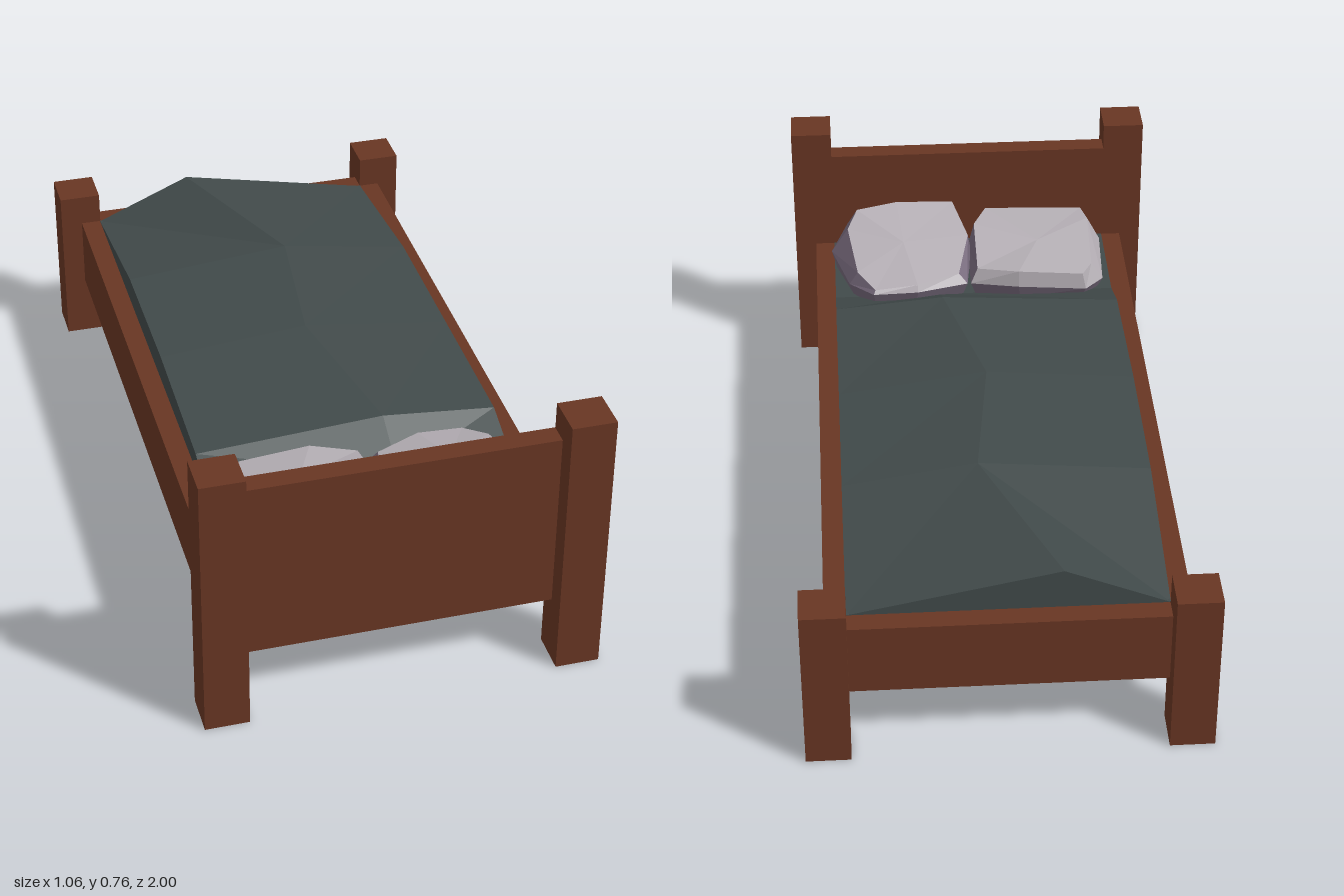
import * as THREE from 'three';

const mat = (name, color, opts = {}) => {
  const m = new THREE.MeshStandardMaterial({ color, flatShading: true, ...opts });
  m.name = name;
  return m;
};

// Geometry from a flat list of [x, y, z] corners, three per face
function facesGeometry(points) {
  const geo = new THREE.BufferGeometry();
  geo.setAttribute('position', new THREE.Float32BufferAttribute(points.flat(), 3));
  geo.computeVertexNormals();
  return geo;
}

export function createModel() {
  const wood = mat('wood', 0x683623);
  const cloth = mat('blanket cloth', 0x414a4a);
  const linen = mat('pillow linen', 0xb4aeb4);
  const shade = mat('pillow purple', 0x776a7c);
  const bed = new THREE.Group();
  bed.name = 'bed';

  const add = (name, geo, material) => {
    const mesh = new THREE.Mesh(geo, material);
    mesh.name = name;
    bed.add(mesh);
    return mesh;
  };
  // Box given by its low and high corners
  const box = (name, material, [x0, y0, z0], [x1, y1, z1]) =>
    add(name, new THREE.BoxGeometry(x1 - x0, y1 - y0, z1 - z0), material)
      .position.set((x0 + x1) / 2, (y0 + y1) / 2, (z0 + z1) / 2);

  // Posts and side rails
  for (const s of [-1, 1]) {
    const side = s > 0 ? 'left' : 'right';
    const x0 = s * 0.47 - 0.059, x1 = s * 0.47 + 0.059;
    box(side + 'HeadPost', wood, [x0, 0, 0.885], [x1, 0.765, 1]);
    box(side + 'FootPost', wood, [x0, 0, -1], [x1, 0.475, -0.885]);
    box(side + 'Rail', wood, [s * 0.44 - 0.028, 0.18, -0.885], [s * 0.44 + 0.028, 0.385, 0.885]);
  }

  // End boards, base and mattress
  box('headboard', wood, [-0.412, 0.18, 0.883], [0.412, 0.69, 0.94]);
  box('footboard', wood, [-0.412, 0.18, -0.94], [0.412, 0.385, -0.883]);
  box('base', wood, [-0.412, 0.215, -0.883], [0.412, 0.25, 0.883]);
  box('mattress', cloth, [-0.412, 0.25, -0.883], [0.412, 0.387, 0.883]);

  // Blanket: rows along z of [z, right edge y, ridge x, ridge y, left edge y]
  const low = 0.385, half = 0.412;
  const rows = [
    [-0.883, low, -0.14, 0.5, low],
    [-0.42, 0.46, 0.05, 0.5, 0.44],
    [0, 0.465, 0, 0.5, 0.44],
    [0.43, 0.44, 0.1, 0.47, 0.44],
    [0.58, low, 0.1, low, low],
  ].map(([z, yr, xm, ym, yl]) => [
    [-half, low, z], [-half, yr, z], [xm, ym, z], [half, yl, z], [half, low, z],
  ]);
  const tris = [];
  for (let r = 0; r < rows.length - 1; r++) {
    for (let c = 0; c < 4; c++) {
      const a = rows[r][c], b = rows[r + 1][c], d = rows[r + 1][c + 1], e = rows[r][c + 1];
      if (c < 2) tris.push(a, b, d, a, d, e);
      else tris.push(a, b, e, b, d, e);
    }
  }
  tris.push(rows[0][0], rows[0][2], rows[0][4]); // open end at the foot
  add('blanket', facesGeometry(tris), cloth);

  // Pillow: rim and top outlines run counter-clockwise from above;
  // shaded lists the columns whose upper band is purple
  function pillow(name, rim, top, shaded) {
    const n = rim.length;
    const mean = (k) => top.reduce((sum, p) => sum + p[k], 0) / n;
    const mid = [mean(0), mean(1) + 0.006, mean(2)];
    const base = rim.map(([x, , z]) => [mid[0] + (x - mid[0]) * 0.93, low, mid[2] + (z - mid[2]) * 0.88]);
    const light = [], dark = [];
    for (let i = 0; i < n; i++) {
      const j = (i + 1) % n;
      dark.push(base[i], base[j], rim[j], base[i], rim[j], rim[i]);
      (shaded.includes(i) ? dark : light).push(rim[i], rim[j], top[j], rim[i], top[j], top[i]);
      light.push(top[i], top[j], mid);
    }
    const geo = facesGeometry([...light, ...dark]);
    geo.addGroup(0, light.length, 0);
    geo.addGroup(light.length, dark.length, 1);
    add(name, geo, [linen, shade]);
  }

  pillow('rightPillow',
    [[-0.34, 0.42, 0.88], [-0.04, 0.45, 0.882], [0.01, 0.44, 0.75], [0.01, 0.43, 0.56],
      [-0.13, 0.435, 0.525], [-0.33, 0.42, 0.525], [-0.385, 0.42, 0.58], [-0.395, 0.43, 0.79]],
    [[-0.34, 0.51, 0.84], [-0.05, 0.52, 0.84], [-0.01, 0.52, 0.75], [-0.01, 0.475, 0.57],
      [-0.13, 0.485, 0.53], [-0.32, 0.47, 0.53], [-0.35, 0.475, 0.58], [-0.355, 0.51, 0.78]],
    [0, 1, 2]);
  pillow('leftPillow',
    [[0.04, 0.47, 0.882], [0.25, 0.49, 0.882], [0.37, 0.48, 0.84], [0.42, 0.44, 0.75],
      [0.37, 0.43, 0.58], [0.3, 0.44, 0.5], [0.17, 0.44, 0.505], [0.02, 0.43, 0.56], [0, 0.44, 0.72]],
    [[0.05, 0.535, 0.86], [0.22, 0.545, 0.85], [0.34, 0.54, 0.82], [0.37, 0.51, 0.76],
      [0.345, 0.47, 0.58], [0.295, 0.45, 0.51], [0.17, 0.46, 0.515], [0.045, 0.46, 0.57], [0.01, 0.5, 0.72]],
    [0, 1, 2, 3, 4, 7]);

  return bed;
}
